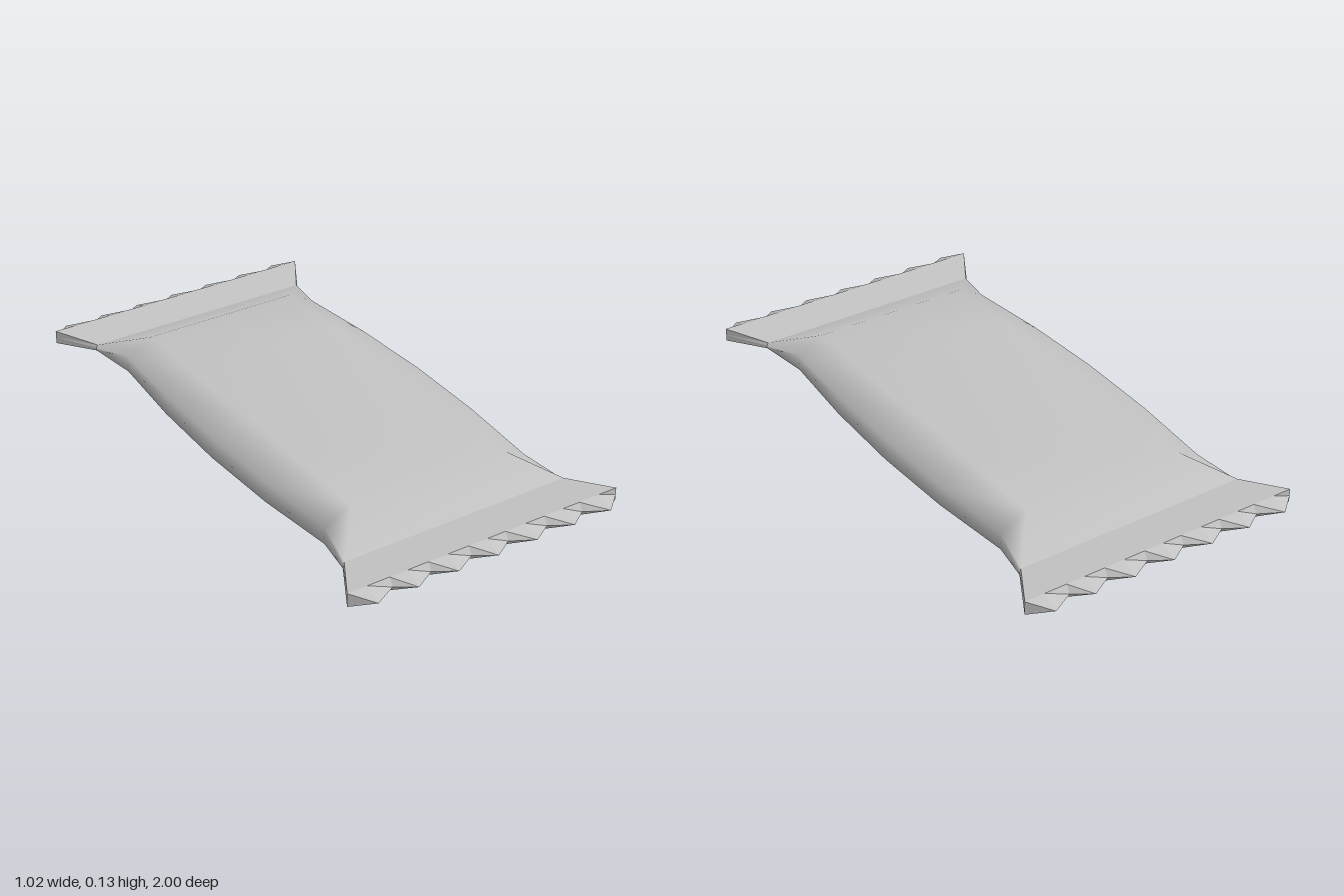
import * as THREE from 'three';

const foil = new THREE.MeshStandardMaterial({ color: 0xc2c2c2 });
foil.name = 'greyFoil';

// Six-sided cross-section: flat base, upright sides, bevelled top
const ring = ([z, w, base, side, topW, top]) => [
  [-w, base, z], [w, base, z], [w, side, z], [topW, top, z], [-topW, top, z], [-w, side, z],
];

// Skin a row of cross-sections running towards +z
function loft(sections, flat) {
  const points = sections.flatMap(ring).flat();
  const index = [];
  for (let s = 0; s < sections.length - 1; s++) {
    for (let i = 0; i < 6; i++) {
      const a = s * 6 + i, b = s * 6 + (i + 1) % 6;
      index.push(a, b, a + 6, b, b + 6, a + 6);
    }
  }
  let geo = new THREE.BufferGeometry();
  geo.setAttribute('position', new THREE.Float32BufferAttribute(points, 3));
  geo.setIndex(index);
  if (flat) geo = geo.toNonIndexed();
  geo.computeVertexNormals();
  return geo;
}

// Serrated edge: top and bottom facets meeting along a zigzag line
function serration() {
  const half = [[0, 1], [0.07, 0.957], [0.148, 1], [0.22, 0.957], [0.295, 1], [0.36, 0.957], [0.44, 1], [0.51, 0.94]];
  const line = [...half.slice(1).reverse().map(([x, z]) => [-x, z]), ...half];
  const points = [];
  const tri = (...corners) => corners.forEach((c) => points.push(...c));
  for (let i = 0; i < line.length - 1; i++) {
    const [x0, z0] = line[i], [x1, z1] = line[i + 1];
    const m0 = [x0, 0.042, z0], m1 = [x1, 0.042, z1];
    const t0 = [x0, 0.068, 0.94], t1 = [x1, 0.068, 0.94];
    const b0 = [x0, 0.02, 0.94], b1 = [x1, 0.02, 0.94];
    tri(t0, m0, m1); tri(t0, m1, t1);
    tri(b0, m1, m0); tri(b0, b1, m1);
  }
  const geo = new THREE.BufferGeometry();
  geo.setAttribute('position', new THREE.Float32BufferAttribute(points, 3));
  geo.computeVertexNormals();
  return geo;
}

export function createModel() {
  const group = new THREE.Group();
  const add = (parent, name, geo) => {
    const mesh = new THREE.Mesh(geo, foil);
    mesh.name = name;
    parent.add(mesh);
  };

  // Sections: z, half width, base y, side y, half top width, top y
  const pinch = [0.79, 0.425, 0.034, 0.045, 0.42, 0.055];
  const half = [
    [0, 0.415, 0, 0.08, 0.295, 0.132],
    [0.32, 0.407, 0.003, 0.078, 0.294, 0.129],
    [0.63, 0.385, 0.013, 0.072, 0.29, 0.122],
    pinch,
  ];
  const mirrored = half.slice(1).reverse().map(([z, ...rest]) => [-z, ...rest]);
  add(group, 'wrapperBody', loft([...mirrored, ...half], false));

  // Crimped flaps at both ends
  const flap = loft([pinch, [0.94, 0.51, 0.02, 0.044, 0.51, 0.068]], true);
  const teeth = serration();
  ['front', 'back'].forEach((side, i) => {
    const end = new THREE.Group();
    end.name = side + 'End';
    end.rotation.y = i * Math.PI;
    add(end, side + 'Flap', flap);
    add(end, side + 'Serration', teeth);
    group.add(end);
  });
  return group;
}
